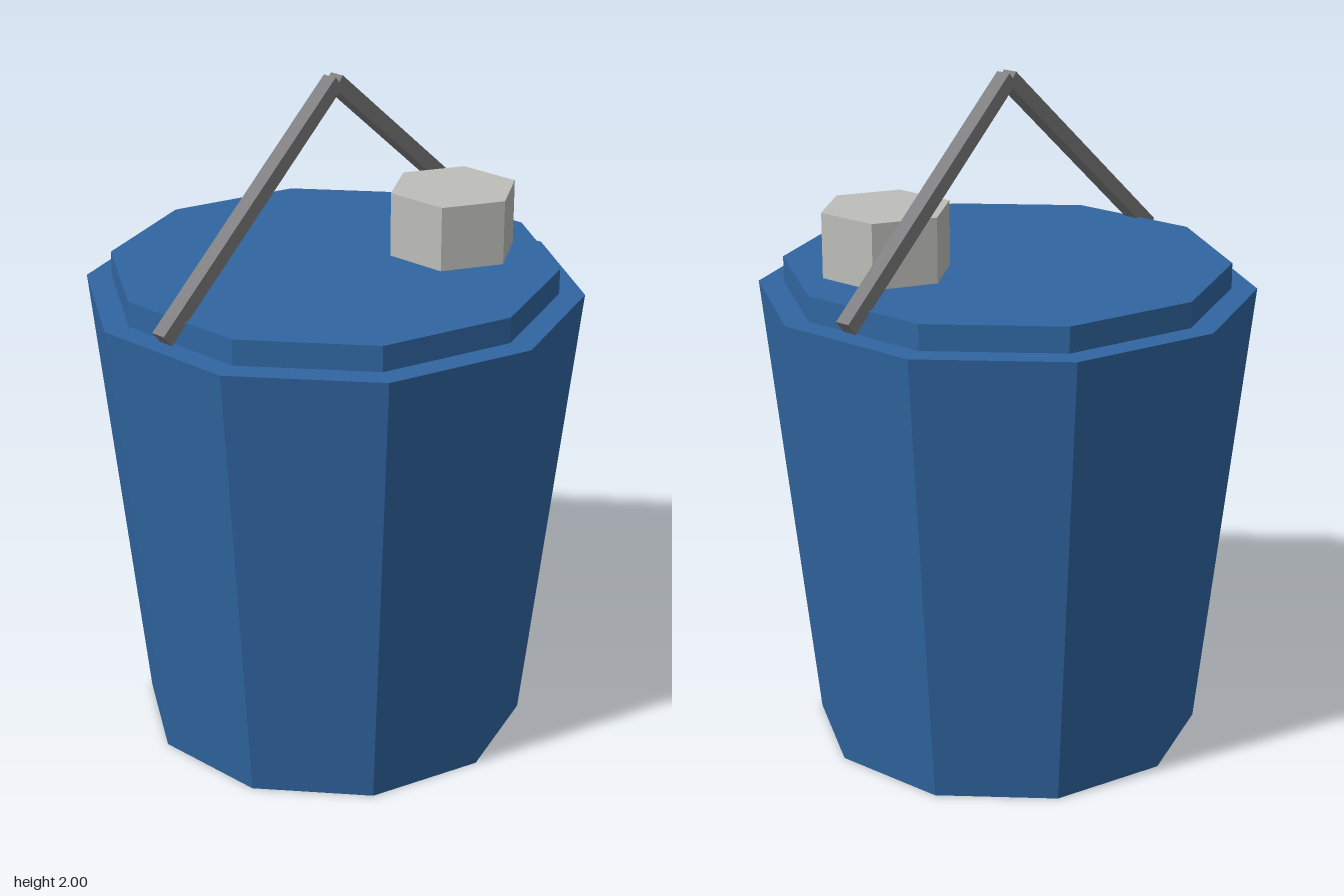
import * as THREE from 'three';

const mat = (name, color) => {
  const m = new THREE.MeshStandardMaterial({ color, flatShading: true });
  m.name = name;
  return m;
};

export function createModel() {
  const blue = mat('blue', 0x3066a1);
  const paleGrey = mat('paleGrey', 0xbdbdba);
  const grey = mat('grey', 0x7f7f82);
  const group = new THREE.Group();
  group.name = 'bucket';

  // Faceted drum standing on y = bottom
  const drum = (name, rTop, rBottom, height, sides, material, x, bottom, z) => {
    const mesh = new THREE.Mesh(new THREE.CylinderGeometry(rTop, rBottom, height, sides), material);
    mesh.name = name;
    mesh.position.set(x, bottom + height / 2, z);
    group.add(mesh);
  };
  drum('body', 0.724, 0.574, 1.375, 10, blue, 0, 0, 0);
  drum('lid', 0.65, 0.65, 0.075, 10, blue, 0, 1.375, 0);
  drum('lidKnob', 0.19, 0.19, 0.19, 6, paleGrey, 0.305, 1.45, 0.19);

  // Peaked handle made of two mirrored bars
  const handle = new THREE.Group();
  handle.name = 'handle';
  const end = new THREE.Vector2(0.683, 1.413);
  const peak = new THREE.Vector2(0, 1.983);
  const length = end.distanceTo(peak);
  const slope = Math.atan2(peak.y - end.y, end.x);
  for (const side of [1, -1]) {
    const bar = new THREE.Mesh(new THREE.BoxGeometry(length, 0.045, 0.045), grey);
    bar.name = side > 0 ? 'leftHandleBar' : 'rightHandleBar';
    bar.position.set(side * end.x / 2, (end.y + peak.y) / 2, 0);
    bar.rotation.z = -side * slope;
    handle.add(bar);
  }
  group.add(handle);
  return group;
}
